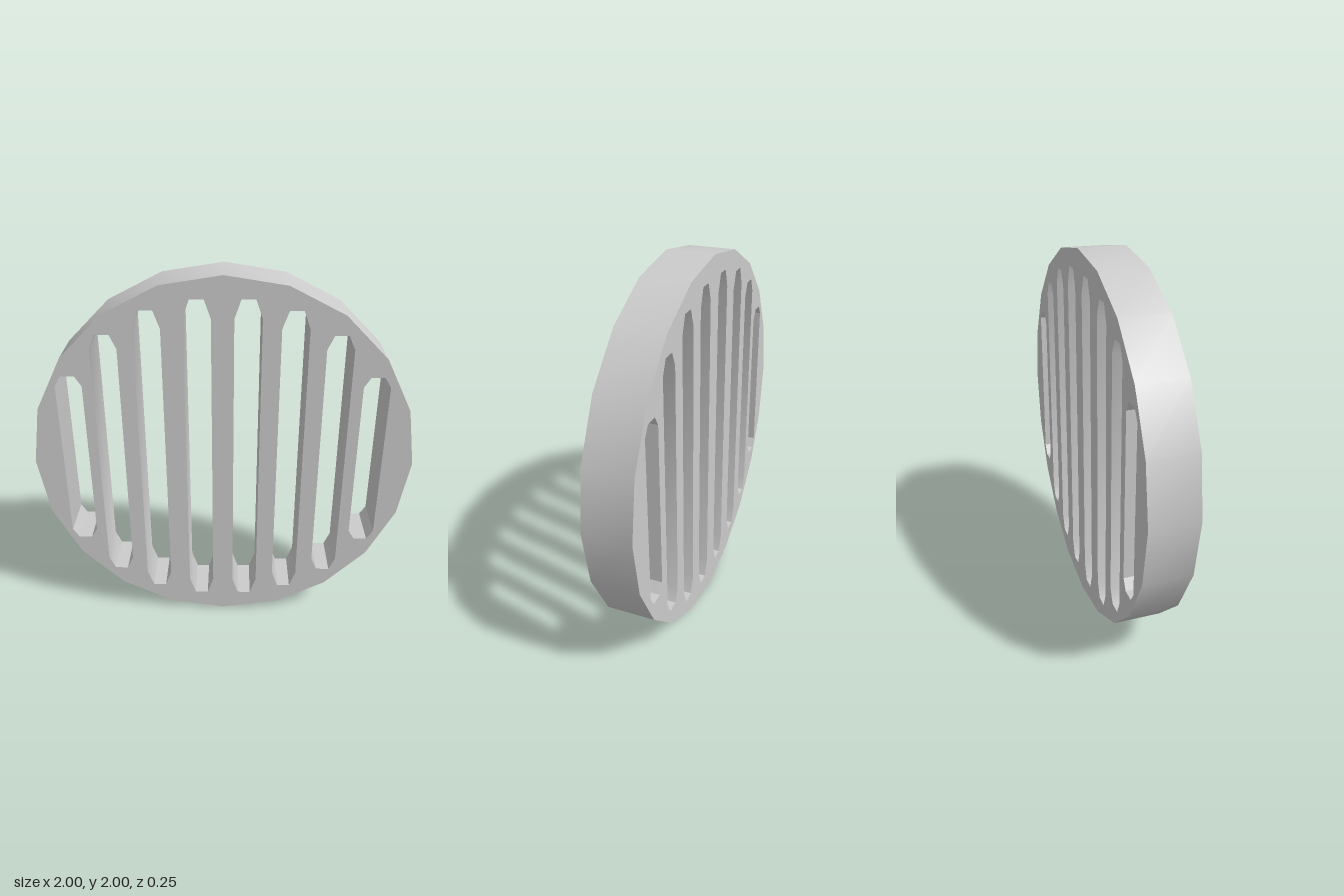
import * as THREE from 'three';
import { toCreasedNormals } from 'three/addons/utils/BufferGeometryUtils.js';

const SIDES = 20;
const DEPTH = 0.25;
const SLOT_HALF_WIDTH = 0.068;
const CAP_HALF_WIDTH = 0.035;

// [centre x, half height to the cap, half height to the shoulder]
const SLOTS = [
  [-0.78, 0.49, 0.437], [-0.59, 0.708, 0.635], [-0.373, 0.83, 0.74], [-0.128, 0.885, 0.79],
  [0.12, 0.885, 0.79], [0.35, 0.83, 0.74], [0.573, 0.708, 0.635], [0.77, 0.49, 0.437],
];

// Upright slot with chamfered ends
function slotPath(x, cap, shoulder) {
  const w = SLOT_HALF_WIDTH, c = CAP_HALF_WIDTH;
  const corners = [
    [-w, -shoulder], [-w, shoulder], [-c, cap], [c, cap],
    [w, shoulder], [w, -shoulder], [c, -cap], [-c, -cap],
  ];
  return new THREE.Path(corners.map(([dx, y]) => new THREE.Vector2(x + dx, y)));
}

export function createModel() {
  const group = new THREE.Group();
  group.name = 'slottedGrate';

  // Twenty-sided disc outline
  const rim = [];
  for (let i = 0; i < SIDES; i++) {
    const a = (i / SIDES) * Math.PI * 2;
    rim.push(new THREE.Vector2(Math.cos(a), Math.sin(a)));
  }
  const disc = new THREE.Shape(rim);
  disc.holes = SLOTS.map((slot) => slotPath(...slot));

  // Disc with slots cut right through, smooth around the rim
  const extruded = new THREE.ExtrudeGeometry(disc, { depth: DEPTH, bevelEnabled: false });
  extruded.translate(0, 1, -DEPTH / 2);
  const grate = new THREE.Mesh(
    toCreasedNormals(extruded, Math.PI / 6),
    new THREE.MeshStandardMaterial({ color: 0xcccccc }),
  );
  grate.name = 'grateDisc';
  group.add(grate);
  return group;
}
